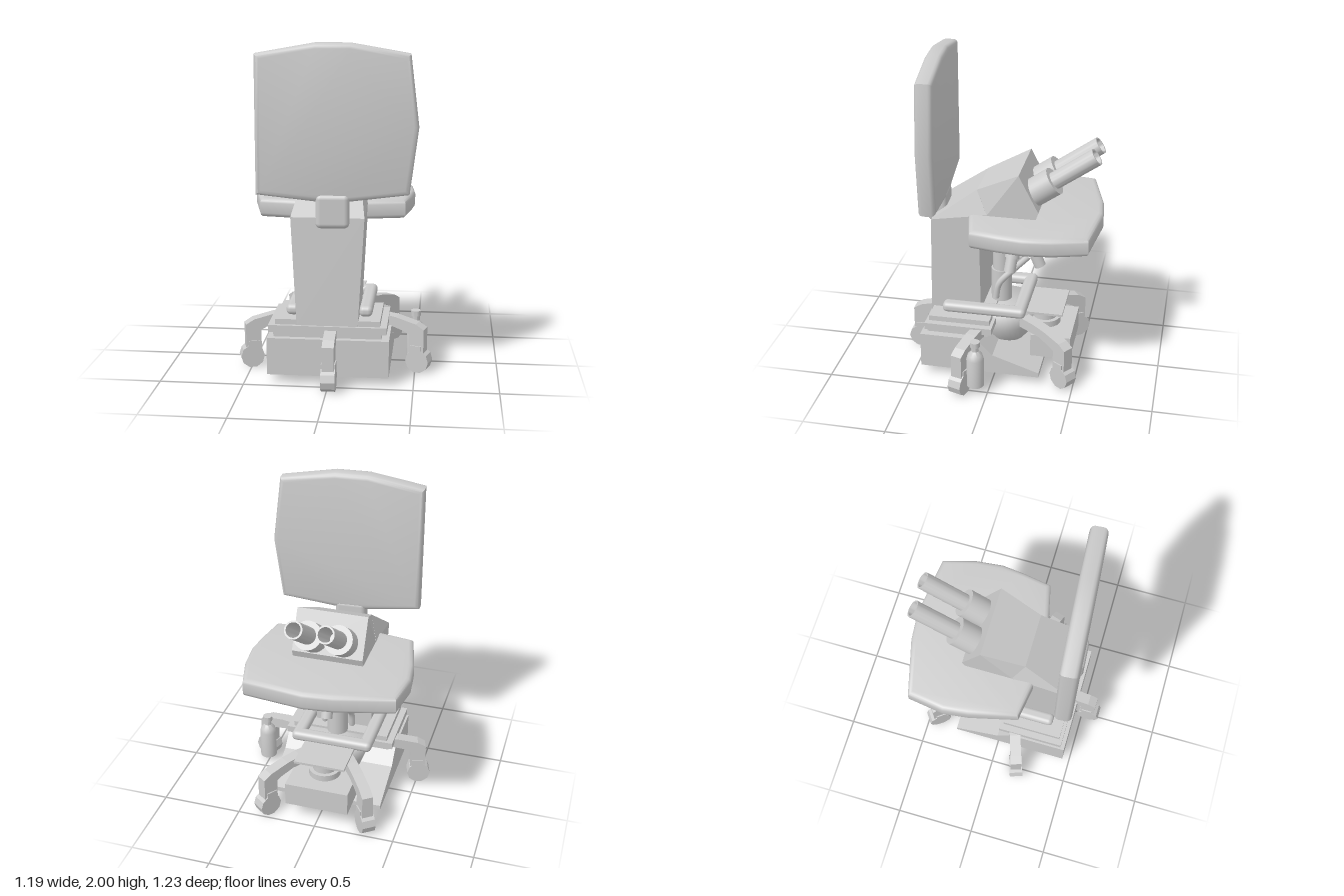
import * as THREE from 'three';
import { toCreasedNormals } from 'three/addons/utils/BufferGeometryUtils.js';
import { RoundedBoxGeometry } from 'three/addons/geometries/RoundedBoxGeometry.js';

const grey = new THREE.MeshStandardMaterial({ color: 0xcccccc });
const greyDouble = new THREE.MeshStandardMaterial({ color: 0xcccccc, side: THREE.DoubleSide });
const V = (x, y, z) => new THREE.Vector3(x, y, z);

export function createModel() {
  const model = new THREE.Group();

  const add = (name, geometry, pos = [0, 0, 0], parent = model, material = grey) => {
    const mesh = new THREE.Mesh(geometry, material);
    mesh.name = name;
    mesh.position.set(...pos);
    parent.add(mesh);
    return mesh;
  };
  // box given by its minimum and maximum on each axis
  const box = (name, [x0, x1], [y0, y1], [z0, z1], parent) =>
    add(name, new THREE.BoxGeometry(x1 - x0, y1 - y0, z1 - z0),
      [(x0 + x1) / 2, (y0 + y1) / 2, (z0 + z1) / 2], parent);
  // cylinder between two points
  const rod = (name, a, b, r0, r1 = r0, sides = 24) => {
    const mesh = add(name, new THREE.CylinderGeometry(r1, r0, a.distanceTo(b), sides));
    mesh.position.copy(a).lerp(b, 0.5);
    mesh.quaternion.setFromUnitVectors(V(0, 1, 0), b.clone().sub(a).normalize());
    return mesh;
  };
  const shapeOf = (pts) => new THREE.Shape(pts.map(([a, b]) => new THREE.Vector2(a, b)));
  // side profile of [z, y] points, spread across x by a half-width rule
  const sideProfile = (name, pts, halfWidth, centre = 0, parent = model) => {
    const g = new THREE.ExtrudeGeometry(shapeOf(pts), { depth: 2, bevelEnabled: false });
    g.rotateY(-Math.PI / 2).translate(1, 0, 0);
    const p = g.attributes.position;
    for (let i = 0; i < p.count; i++)
      p.setX(i, centre + p.getX(i) * halfWidth(p.getZ(i), p.getY(i)));
    g.computeVertexNormals();
    return add(name, g, [0, 0, 0], parent);
  };
  // padded slab with rounded rim, centred on its thickness
  const cushion = (pts, thickness) => {
    const bevel = 0.026;
    const g = new THREE.ExtrudeGeometry(shapeOf(pts), {
      depth: thickness - 2 * bevel, bevelThickness: bevel, bevelSize: 0.03,
      bevelOffset: -0.03, bevelSegments: 3,
    });
    g.translate(0, 0, -thickness / 2 + bevel);
    return toCreasedNormals(g, 0.75);
  };

  // backrest and its bracket
  const back = add('backrest', cushion([
    [-0.44, -0.41], [-0.1, -0.45], [0.1, -0.45], [0.44, -0.41], [0.49, -0.02],
    [0.44, 0.39], [0.1, 0.45], [-0.1, 0.45], [-0.44, 0.39]], 0.105), [0.02, 1.55, 0.39]);
  back.rotation.y = 0.07;
  const bracket = add('backrestBracket', new RoundedBoxGeometry(0.195, 0.2, 0.12, 3, 0.03), [0.02, 1.045, 0.395]);
  bracket.rotation.y = 0.07;

  // seat, outline given in x and -z
  const seat = cushion([
    [-0.44, -0.16], [-0.18, -0.2], [0.17, -0.18], [0.43, -0.12], [0.46, 0.05], [0.478, 0.2],
    [0.46, 0.37], [0.4, 0.575], [0.03, 0.618], [-0.15, 0.6], [-0.495, 0.51],
    [-0.528, 0.285], [-0.51, 0.13]], 0.115);
  seat.rotateX(-Math.PI / 2);
  add('seat', seat, [0, 0.998, 0]);

  // microscope stand and head
  sideProfile('standColumn',
    [[0.425, 0.355], [0.11, 0.355], [0.11, 0.95], [0.06, 1.06], [0.13, 1.2], [0.405, 1.0]],
    (z, y) => (y > 1.1 ? 0.17 : 0.18 + 0.035 * (y - 0.355) / 0.645), -0.01);
  sideProfile('head',
    [[0.13, 1.2], [0.06, 1.06], [0.08, 0.95], [-0.2, 0.95], [-0.25, 1.1], [-0.13, 1.33]],
    (z) => (z > 0.1 ? 0.17 : 0.217), -0.01);

  // two hollow eyepieces
  const aim = V(0, 0.575, -0.818);
  for (const x of [-0.1, 0.085]) {
    const start = V(x, 1.17, -0.19);
    const end = start.clone().addScaledVector(aim, 0.165);
    rod('eyepieceSocket', start, end, 0.087, 0.087, 32);
    const tube = new THREE.LatheGeometry([[0.053, 0], [0.053, 0.3], [0.043, 0.3], [0.043, 0.02], [0, 0.02]]
      .map(([r, y]) => new THREE.Vector2(r, y)), 32);
    const mesh = add('eyepieceTube', toCreasedNormals(tube, 0.6), end.toArray(), model, greyDouble);
    mesh.quaternion.setFromUnitVectors(V(0, 1, 0), aim.clone().normalize());
  }

  // nosepiece and objectives
  const facet = (r, h) => new THREE.CylinderGeometry(r, r, h, 8, 1, false, Math.PI / 8).toNonIndexed();
  for (const [r, h, y, z] of [[0.18, 0.055, 0.917, -0.1], [0.125, 0.09, 0.845, -0.14]]) {
    const g = facet(r, h);
    g.computeVertexNormals();
    add('nosepiece', g, [0, y, z]);
  }
  for (const [x, z] of [[0, -0.1], [0.085, 0.03], [-0.085, 0.03]]) {
    const top = V(x * 0.6, 0.82, -0.1 + z * 0.6);
    const dir = V(x, -0.24, z).normalize();
    const mid = top.clone().addScaledVector(dir, 0.1);
    rod('objectiveBody', top, mid, 0.045);
    rod('objectiveTip', mid, top.clone().addScaledVector(dir, 0.19), 0.036);
  }
  rod('focusPost', V(0, 0.6, 0.01), V(0, 0.93, 0.01), 0.055);
  rod('focusPostLower', V(0, 0.4, 0.01), V(0, 0.61, 0.01), 0.065);

  // curved clips rising from the stage
  for (const s of [-1, 1]) {
    const path = new THREE.CatmullRomCurve3([
      V(s * 0.09, 0.44, 0.03), V(s * 0.09, 0.54, 0.01), V(s * 0.07, 0.63, -0.07), V(s * 0.05, 0.73, -0.17)]);
    add('curvedClip', new THREE.TubeGeometry(path, 16, 0.02, 8));
  }

  // padded U-shaped rail around the stage
  for (const x of [-0.225, 0.21])
    add('sideRail', new RoundedBoxGeometry(0.08, 0.065, 0.52, 3, 0.028), [x, 0.418, 0.08]);
  add('crossRail', new RoundedBoxGeometry(0.515, 0.065, 0.08, 3, 0.028), [-0.0075, 0.418, -0.14]);
  box('stagePlate', [-0.16, 0.16], [0.385, 0.4], [-0.4, -0.12]);

  // base plates, wedge base and bowl
  box('upperPlate', [-0.32, 0.3], [0.35, 0.385], [0.03, 0.41]);
  box('middlePlate', [-0.36, 0.34], [0.31, 0.352], [0.01, 0.43]);
  box('lowerPlate', [-0.33, 0.31], [0.28, 0.31], [0.04, 0.42]);
  sideProfile('wedgeBase',
    [[0.455, 0.055], [-0.29, 0.055], [-0.29, 0.085], [0.0, 0.18], [0.1, 0.28], [0.455, 0.28]],
    () => 0.36, -0.005);
  add('bowl', new THREE.LatheGeometry([[0, 0.12], [0.11, 0.12], [0.16, 0.18], [0.19, 0.26], [0.2, 0.37], [0, 0.37]]
    .map(([r, y]) => new THREE.Vector2(r, y)), 32), [0, 0, -0.01]);
  box('lampBox', [-0.2, 0.2], [0.11, 0.26], [-0.46, -0.21]);
  rod('lampCollar', V(0, 0.25, -0.27), V(0, 0.3, -0.27), 0.1);
  rod('lampLens', V(0, 0.3, -0.27), V(0, 0.385, -0.27), 0.075);

  // five legs with casters
  for (let i = 0; i < 5; i++) {
    const leg = new THREE.Group();
    leg.name = 'casterLeg';
    leg.rotation.y = (i * 2 * Math.PI) / 5;
    leg.position.x = 0.01;
    model.add(leg);
    sideProfile('legBeam', [[0.15, 0.28], [0.36, 0.28], [0.45, 0.255], [0.48, 0.24], [0.58, 0.24],
      [0.58, 0.275], [0.53, 0.305], [0.4, 0.335], [0.3, 0.345], [0.15, 0.345]], () => 0.035, 0, leg);
    box('casterNeck', [-0.035, 0.035], [0.12, 0.245], [0.485, 0.58], leg);
    box('casterHood', [-0.042, 0.042], [0.1, 0.17], [0.495, 0.565], leg);
    const wheel = new THREE.CylinderGeometry(0.073, 0.073, 0.084, 10).rotateZ(Math.PI / 2).toNonIndexed();
    wheel.computeVertexNormals();
    add('casterWheel', wheel, [0, 0.073, 0.54], leg);
  }

  // small bottle beside the base
  const bottle = new THREE.LatheGeometry([
    [0, 0.055], [0.053, 0.055], [0.053, 0.24], [0.045, 0.27], [0.022, 0.295], [0.022, 0.325],
    [0.03, 0.325], [0.03, 0.358], [0, 0.358]].map(([r, y]) => new THREE.Vector2(r, y)), 24);
  add('bottle', toCreasedNormals(bottle, 0.7), [0.5, 0, 0.075]);

  return model;
}
